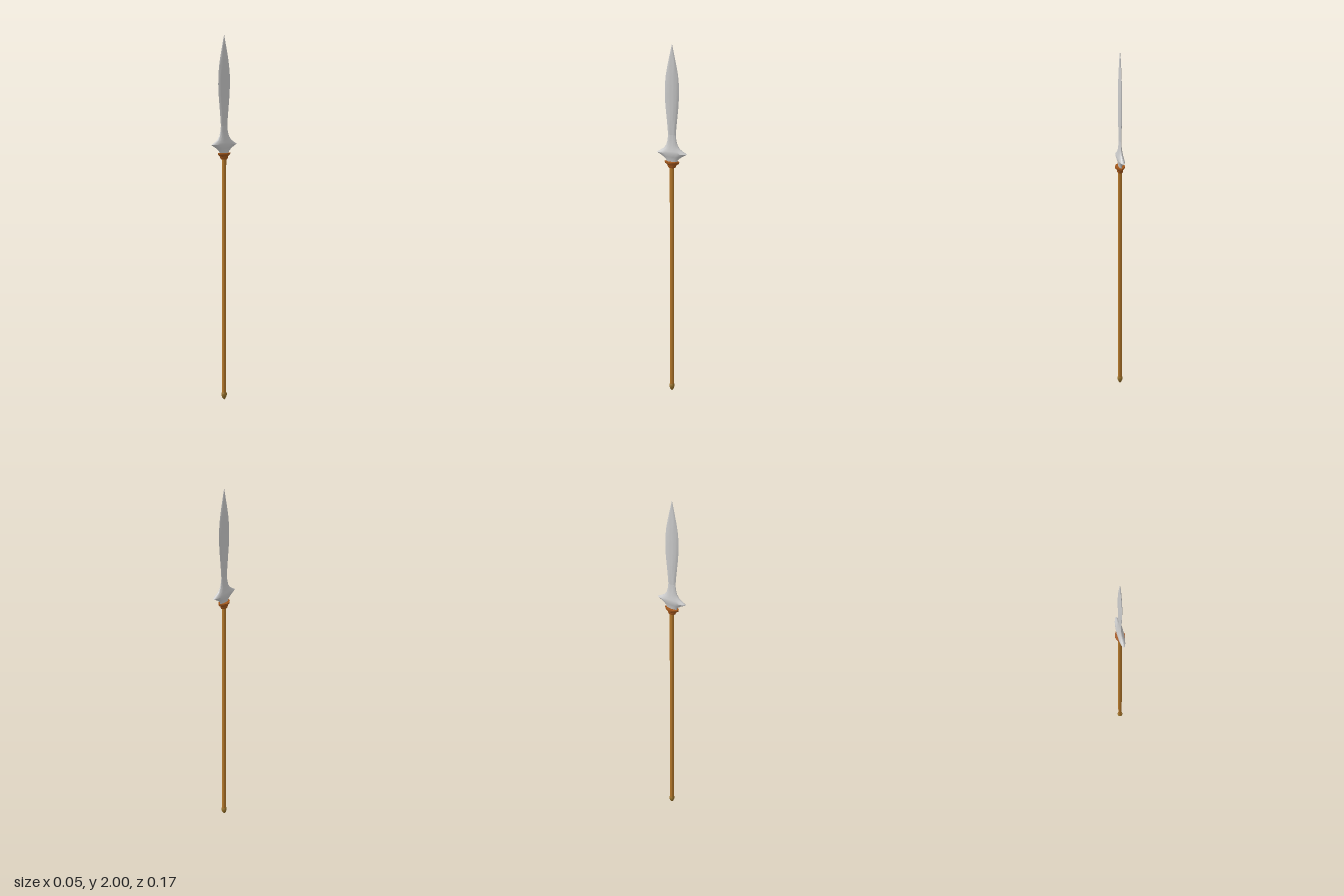
import * as THREE from 'three';
import { toCreasedNormals } from 'three/addons/utils/BufferGeometryUtils.js';

const steel = new THREE.MeshStandardMaterial({ color: 0xcccccc });
const wood = new THREE.MeshStandardMaterial({ color: 0xb5782a });
const leather = new THREE.MeshStandardMaterial({ color: 0xa4581c });
const brass = new THREE.MeshStandardMaterial({ color: 0x96702a });

// Lofts rings [y, half width x, half width z, power]; power 1 is an ellipse, 2 a diamond.
function loft(rings, sides, crease) {
  const geo = new THREE.CylinderGeometry(1, 1, 1, sides, rings.length - 1);
  const pos = geo.attributes.position;
  const bend = (v, p) => Math.sign(v) * Math.abs(v) ** p;
  for (let i = 0; i < pos.count; i++) {
    const row = Math.round((pos.getY(i) + 0.5) * (rings.length - 1));
    const [y, rx, rz, power = 1] = rings[row];
    pos.setXYZ(i, rx * bend(pos.getX(i), power), y, rz * bend(pos.getZ(i), power));
  }
  return toCreasedNormals(geo, crease);
}

export function createModel() {
  const group = new THREE.Group();
  const add = (name, geometry, material) => {
    const mesh = new THREE.Mesh(geometry, material);
    mesh.name = name;
    group.add(mesh);
  };

  // Wooden pole
  add('shaft', loft([[0.03, 0.011, 0.012], [1.36, 0.011, 0.012]], 12, 0.8), wood);

  // Pointed foot of the pole
  add('buttCap', loft([
    [0, 0.003, 0.003], [0.01, 0.010, 0.010], [0.024, 0.015, 0.015],
    [0.034, 0.015, 0.015], [0.042, 0.012, 0.012],
  ], 12, 0.5), brass);

  // Flared collar under the head
  add('collar', loft([
    [1.34, 0.014, 0.020, 1], [1.348, 0.017, 0.024, 1.1], [1.355, 0.017, 0.026, 1.2],
    [1.364, 0.026, 0.040, 1.4], [1.374, 0.027, 0.042, 1.4],
  ], 20, 0.5), leather);

  // Winged guard, flowing up into the neck
  add('guard', loft([
    [1.365, 0.008, 0.028], [1.385, 0.009, 0.034], [1.40, 0.013, 0.052],
    [1.42, 0.018, 0.086], [1.432, 0.016, 0.066], [1.445, 0.013, 0.046],
    [1.465, 0.010, 0.032], [1.49, 0.007, 0.025], [1.52, 0.006, 0.022, 1.2],
  ], 32, 0.6), steel);

  // Leaf-shaped blade
  add('blade', loft([
    [1.52, 0.006, 0.022, 1.2], [1.56, 0.008, 0.025, 1.4], [1.62, 0.009, 0.031, 1.4],
    [1.68, 0.009, 0.037, 1.4], [1.74, 0.009, 0.040, 1.4], [1.79, 0.009, 0.039, 1.4],
    [1.84, 0.008, 0.034, 1.4], [1.89, 0.007, 0.025, 1.4], [1.94, 0.005, 0.014, 1.4],
    [1.98, 0.003, 0.005, 1.4], [2.0, 0.0005, 0.0005, 1.4],
  ], 24, 0.6), steel);

  return group;
}
